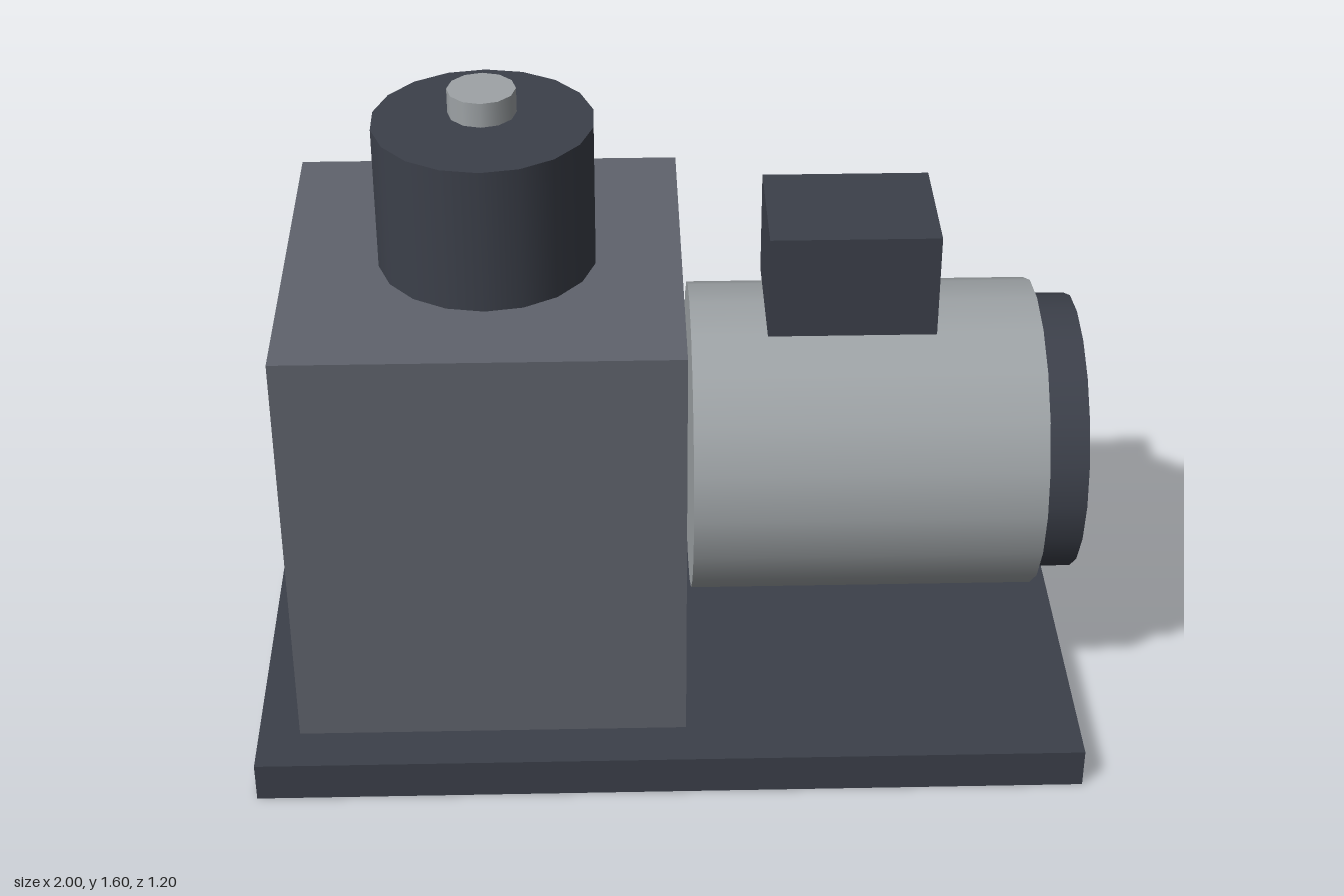
import * as THREE from 'three';

const material = (name, color) => {
  const m = new THREE.MeshStandardMaterial({ color });
  m.name = name;
  return m;
};

export function createModel() {
  const dark = material('dark slate', 0x3c404a);
  const grey = material('mid grey', 0x5f636c);
  const metal = material('light metal', 0x9ea3a6);
  const group = new THREE.Group();
  group.name = 'pumpUnit';

  const add = (name, geometry, mat, x, y, z = 0) => {
    const mesh = new THREE.Mesh(geometry, mat);
    mesh.name = name;
    mesh.position.set(x, y, z);
    group.add(mesh);
    return mesh;
  };
  const box = (w, h, d) => new THREE.BoxGeometry(w, h, d);
  const cylinder = (r, h, sides) => new THREE.CylinderGeometry(r, r, h, sides);

  // Base plate and housing
  add('basePlate', box(2, 0.1, 1.2), dark, 0, 0.05);
  add('housing', box(0.94, 1.06, 0.96), grey, -0.43, 0.63);

  // Upright port with its small cap hovering just above
  add('port', cylinder(0.26, 0.36, 18), dark, -0.42, 1.34);
  add('portCap', cylinder(0.08, 0.06, 12), metal, -0.42, 1.57);

  // Horizontal motor, end cover and terminal box
  add('motorBody', cylinder(0.38, 0.84, 20).rotateZ(-Math.PI / 2), metal, 0.48, 0.64);
  add('motorEndCover', cylinder(0.34, 0.1, 20).rotateZ(-Math.PI / 2), dark, 0.95, 0.64);
  add('terminalBox', box(0.4, 0.26, 0.32), dark, 0.44, 1.15);

  return group;
}
